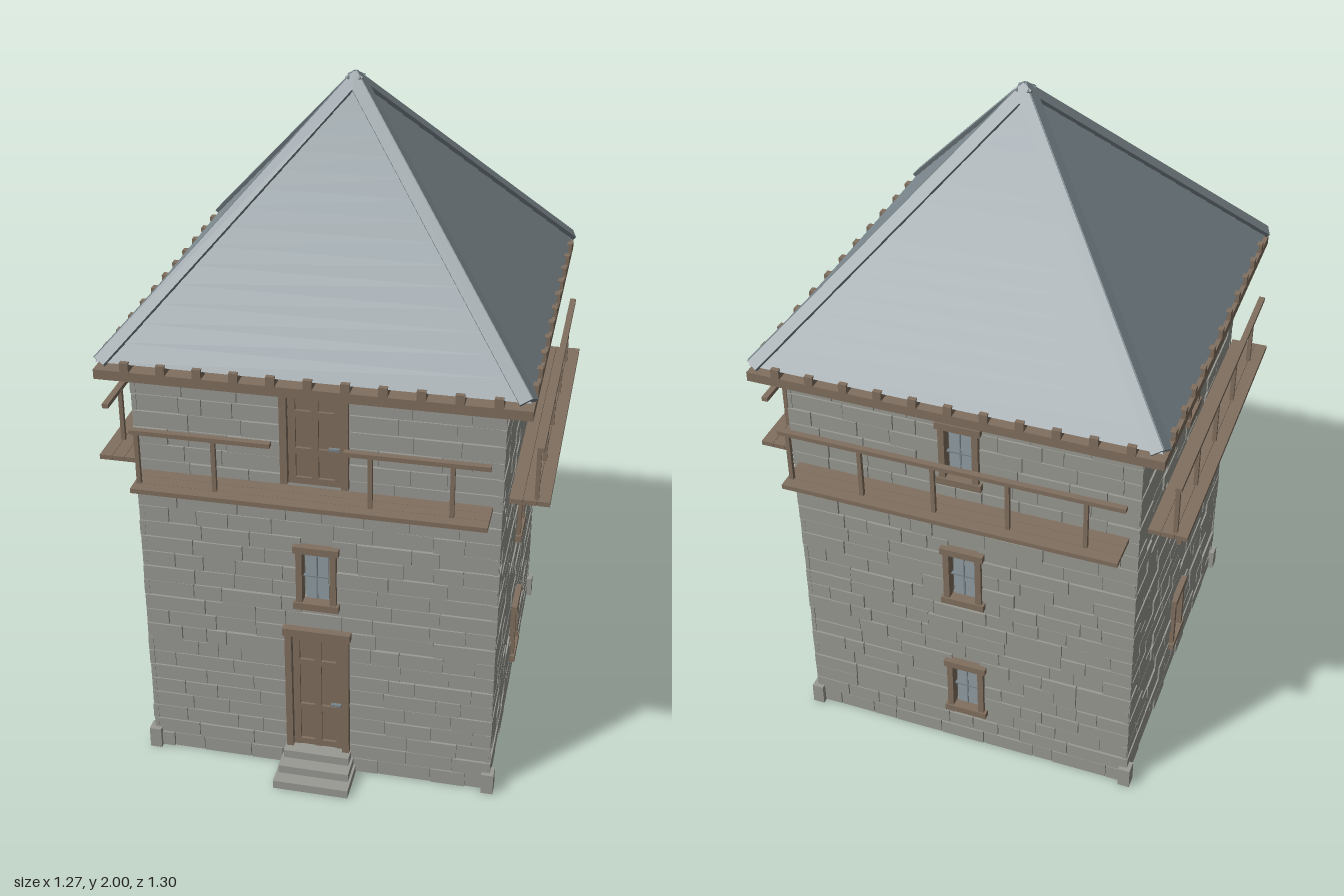
import * as THREE from 'three';
import { mergeGeometries } from 'three/addons/utils/BufferGeometryUtils.js';

const material = (name, color) => {
  const m = new THREE.MeshStandardMaterial({ color });
  m.name = name;
  return m;
};

// Box geometry given by its two opposite corners
const block = (x0, x1, y0, y1, z0, z1) =>
  new THREE.BoxGeometry(x1 - x0, y1 - y0, z1 - z0)
    .translate((x0 + x1) / 2, (y0 + y1) / 2, (z0 + z1) / 2);

// Small seeded random generator
let seed = 7;
const rand = () => (seed = (seed * 16807) % 2147483647) / 2147483647;

export function createModel() {
  const tower = new THREE.Group();
  tower.name = 'tower';
  const stone = material('stone', 0x9a9a94);
  const wood = material('wood', 0x81705f);
  const slate = material('slate', 0x7d898f);
  const glass = material('glass', 0x929da3);
  const iron = material('iron', 0x7a858b);

  const add = (parent, name, mat, parts) => {
    const mesh = new THREE.Mesh(mergeGeometries(parts.map(g => (g.index ? g.toNonIndexed() : g))), mat);
    mesh.name = name;
    parent.add(mesh);
    return mesh;
  };

  const HX = 0.515, HZ = 0.53, WALL_TOP = 1.315;

  // Each side is built facing +z and then turned into place
  function side(name, angle, half, dist, openings, isFront) {
    const g = new THREE.Group();
    g.name = name;
    g.rotation.y = angle;
    tower.add(g);
    const D = dist - 0.008;            // backing face behind the stones

    // Backing wall with openings
    const w = half - 0.008;
    const shape = new THREE.Shape([[-w, 0], [w, 0], [w, WALL_TOP], [-w, WALL_TOP]].map(p => new THREE.Vector2(...p)));
    for (const o of openings) {
      shape.holes.push(new THREE.Path([[-o.w, o.y0], [-o.w, o.y1], [o.w, o.y1], [o.w, o.y0]].map(p => new THREE.Vector2(...p))));
    }
    add(g, 'wall', stone, [new THREE.ExtrudeGeometry(shape, { depth: 0.03, bevelEnabled: false }).translate(0, 0, D - 0.03)]);

    // Courses of stones with random lengths and depths
    const stones = [], rows = 26, rowH = WALL_TOP / rows;
    for (let r = 0; r < rows; r++) {
      const y0 = r * rowH, y1 = y0 + rowH;
      const o = openings.find(q => q.y0 < y1 && q.y1 > y0);
      const spans = o ? [[-half, -o.w - 0.004], [o.w + 0.004, half]] : [[-half, half]];
      for (const [a, b] of spans) {
        let x = a;
        while (x < b - 0.001) {
          let end = x + 0.06 + rand() * 0.12;
          if (b - end < 0.05) end = b;
          const depth = D + 0.004 + rand() * 0.006;
          stones.push(block(x + (x === a ? 0 : 0.003), end, y0 + 0.003, y1, D - 0.006, depth));
          x = end;
        }
      }
    }
    add(g, 'stones', stone, stones);

    // Windows and doors
    for (const o of openings) (o.door ? door : windowUnit)(g, o, dist);

    balcony(g, dist, isFront);
  }

  function windowUnit(parent, o, d) {
    const g = new THREE.Group();
    g.name = 'window';
    parent.add(g);
    const f = d + 0.012, b = d - 0.02;
    add(g, 'windowFrame', wood, [
      block(-0.058, -0.04, o.y0, o.y1, b, f), block(0.04, 0.058, o.y0, o.y1, b, f),
      block(-0.066, 0.066, o.y1 - 0.002, o.y1 + 0.02, b, f + 0.004),
      block(-0.066, 0.066, o.y0 - 0.02, o.y0 + 0.002, b, f + 0.004),
    ]);
    const y0 = o.y0 + 0.008, y1 = o.y1 - 0.012, z = d - 0.012;
    add(g, 'windowPane', glass, [block(-0.033, 0.033, y0, y1, z - 0.003, z + 0.003)]);
    // Glazing bars
    const bars = [block(-0.002, 0.002, y0, y1, z - 0.005, z + 0.006)];
    for (const t of [0.5]) {
      const y = y0 + (y1 - y0) * t;
      bars.push(block(-0.04, 0.04, y - 0.002, y + 0.002, z - 0.005, z + 0.006));
    }
    add(g, 'glazingBars', iron, bars);
  }

  function door(parent, o, d) {
    const g = new THREE.Group();
    g.name = 'door';
    parent.add(g);
    const f = d + 0.015, b = d - 0.036;
    add(g, 'doorFrame', wood, [
      block(-0.095, -0.075, o.y0, o.y1, b, f), block(0.075, 0.095, o.y0, o.y1, b, f),
      block(-0.1, 0.1, o.y1 - 0.02, o.y1 + 0.005, b, f + 0.006),
    ]);
    // Leaf with raised stiles and rails
    const y0 = o.y0, y1 = o.y1 - 0.02, leaf = [block(-0.075, 0.075, y0, y1, b, d - 0.008)];
    for (const x of [-0.064, 0, 0.064]) leaf.push(block(x - 0.01, x + 0.01, y0, y1, d - 0.01, d));
    for (const t of [0.03, 0.35, 0.75, 0.97]) {
      const y = y0 + (y1 - y0) * t;
      leaf.push(block(-0.075, 0.075, y - 0.01, y + 0.01, d - 0.01, d));
    }
    add(g, 'doorLeaf', wood, leaf);
    const h = y0 + (y1 - y0) * 0.4;
    add(g, 'doorHandle', iron, [block(0.04, 0.07, h, h + 0.007, d, d + 0.01)]);
  }

  function balcony(parent, d, gap) {
    const g = new THREE.Group();
    g.name = 'balcony';
    parent.add(g);
    // Floor planks
    const planks = [];
    for (let i = 0; i < 3; i++) {
      const z = d + 0.012 + i * 0.037;
      planks.push(block(-0.49, 0.49, 0.974, 0.988, z, z + 0.036));
    }
    add(g, 'balconyFloor', wood, planks);
    // Posts and handrail, left open in front of a door
    const z = d + 0.085, posts = [-0.475, -0.26, -0.045, 0.17, 0.39].filter(x => !gap || Math.abs(x) > 0.1);
    add(g, 'railingPosts', wood, posts.map(x => block(x - 0.006, x + 0.006, 0.986, 1.148, z - 0.006, z + 0.006)));
    const runs = gap ? [[-0.49, -0.1], [0.1, 0.49]] : [[-0.5, 0.5]];
    add(g, 'handrail', wood, runs.map(([a, b]) => block(a, b, 1.144, 1.157, z - 0.004, z + 0.014)));
  }

  const win = y => ({ w: 0.042, y0: y - 0.085, y1: y + 0.085 });
  const three = [win(0.235), win(0.685), win(1.133)];
  side('frontSide', 0, HX, HZ, [
    { door: true, w: 0.09, y0: 0.08, y1: 0.505 }, win(0.685),
    { door: true, w: 0.09, y0: 0.99, y1: 1.295 },
  ], true);
  side('leftSide', Math.PI / 2, HZ, HX, three);
  side('backSide', Math.PI, HX, HZ, three);
  side('rightSide', -Math.PI / 2, HZ, HX, three);

  // Corner stones at the foot
  const corners = [[1, 1], [-1, 1], [-1, -1], [1, -1]];
  add(tower, 'cornerStones', stone, corners.map(([sx, sz]) =>
    new THREE.BoxGeometry(0.036, 0.068, 0.04).translate(sx * 0.511, 0.034, sz * 0.524)));

  // Front steps
  add(tower, 'frontSteps', stone, [
    block(-0.113, 0.113, 0, 0.027, 0.52, 0.65),
    block(-0.106, 0.106, 0.027, 0.053, 0.52, 0.61),
    block(-0.099, 0.099, 0.053, 0.08, 0.52, 0.57),
  ]);

  // Eave boards around the top of the walls
  const EX = 0.588, EZ = 0.604;
  add(tower, 'eaveBoards', wood, [-1, 1].flatMap(s => [
    new THREE.BoxGeometry(2 * EX, 0.028, 0.08).translate(0, 1.303, s * (EZ - 0.04)),
    new THREE.BoxGeometry(0.08, 0.028, 2 * EZ - 0.16).translate(s * (EX - 0.04), 1.303, 0),
  ]));
  // Rafter ends between the boards and the roof
  const rafters = [];
  for (let i = -5; i <= 5; i++) {
    for (const s of [-1, 1]) {
      rafters.push(new THREE.BoxGeometry(0.024, 0.03, 0.1).translate(i * 0.1, 1.33, s * (EZ - 0.048)));
      rafters.push(new THREE.BoxGeometry(0.1, 0.03, 0.024).translate(s * (EX - 0.048), 1.33, i * 0.1));
    }
  }
  add(tower, 'rafterEnds', wood, rafters);

  // Roof: overlapping courses of slate, each a thin four-sided band
  const RX = 0.578, RZ = 0.596, Y0 = 1.338, Y1 = 1.985, courses = 15, bands = [];
  for (let i = 0; i < courses; i++) {
    const t0 = i / courses, t1 = (i + 1) / courses, h = (Y1 - Y0) / courses;
    const band = new THREE.CylinderGeometry(Math.max(1 - t1, 0.004), 1 - t0 + 0.006, h, 4, 1)
      .rotateY(Math.PI / 4).scale(RX * Math.SQRT2, 1, RZ * Math.SQRT2)
      .translate(0, Y0 + (i + 0.5) * h, 0).toNonIndexed();
    band.computeVertexNormals();
    bands.push(band);
  }
  add(tower, 'roof', slate, bands);

  // Hip caps: two boards on each hip, one lying on each roof slope
  const apex = new THREE.Vector3(0, Y1 + 0.004, 0);
  for (const [sx, sz] of corners) {
    const foot = new THREE.Vector3(sx * RX, Y0 + 0.006, sz * RZ);
    const along = apex.clone().sub(foot), len = along.length();
    along.normalize();
    const slopes = [new THREE.Vector3(0, RZ, sz * (Y1 - Y0)), new THREE.Vector3(sx * (Y1 - Y0), RX, 0)];
    const down = [new THREE.Vector3(-sx, 0, 0), new THREE.Vector3(0, 0, -sz)];
    add(tower, 'hipCap', slate, slopes.map((n, k) => {
      n.normalize();
      const across = new THREE.Vector3().crossVectors(n, along).normalize();
      const dir = Math.sign(across.dot(down[k]));
      const basis = new THREE.Matrix4().makeBasis(across, n, along)
        .setPosition(foot.clone().add(apex).multiplyScalar(0.5));
      return new THREE.BoxGeometry(0.034, 0.014, len).translate(dir * 0.013, 0.003, 0).applyMatrix4(basis);
    }));
  }
  return tower;
}
